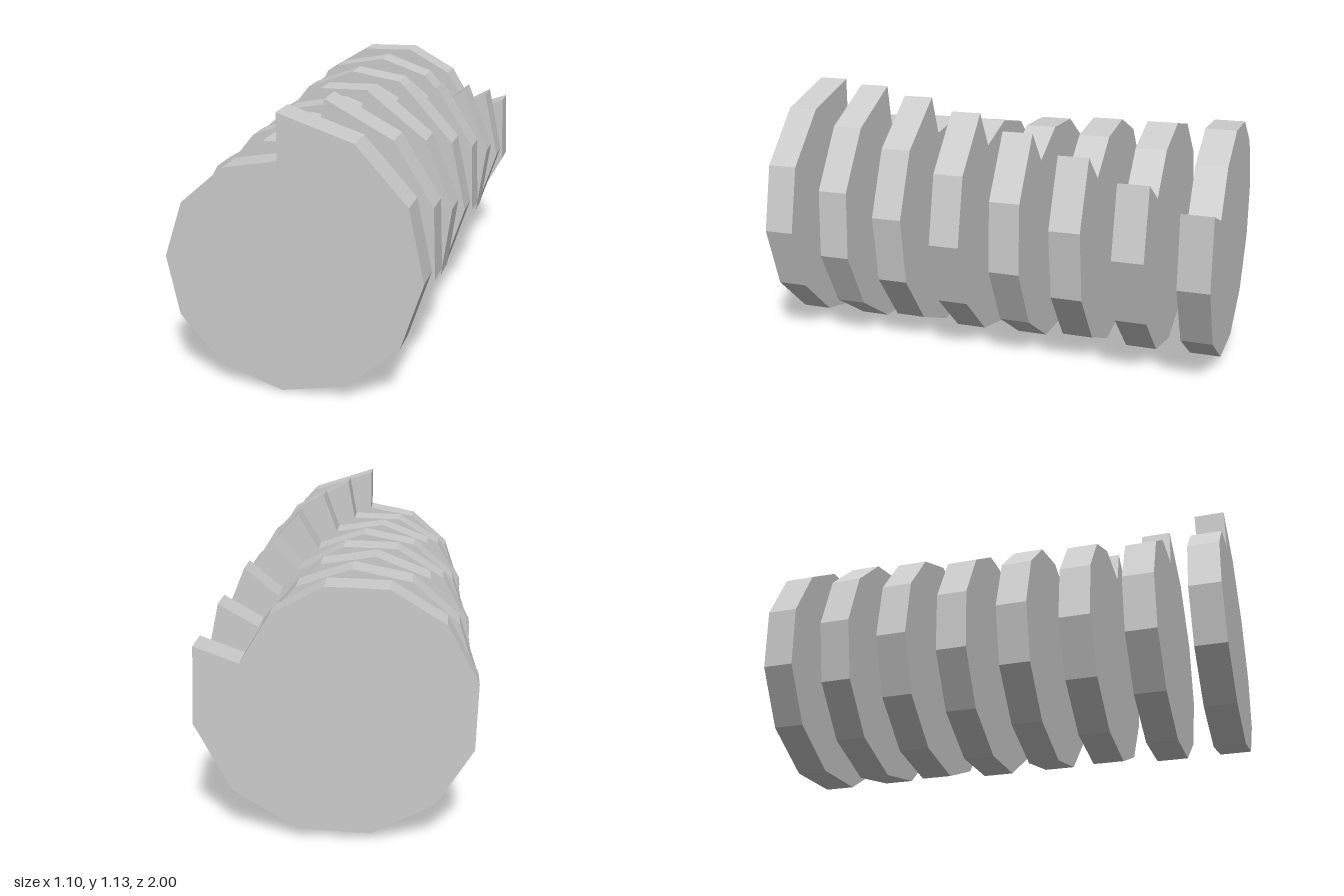
import * as THREE from 'three';

const COUNT = 8;                 // discs along z
const SIDES = 12;                // straight segments per spiral turn
const R_MAX = 0.611, R_MIN = 0.426;
const THICK = 2 / (2 * COUNT - 1); // disc thickness equals the gap
const TWIST = THREE.MathUtils.degToRad(10);

// Snail cam outline: radius shrinks clockwise from the tip, then steps back out.
// The spiral's centre sits slightly off the axis the discs turn about.
function camGeometry() {
  const points = [];
  for (let k = 0; k <= SIDES; k++) {
    const angle = Math.PI / 2 - (k / SIDES) * Math.PI * 2;
    const r = THREE.MathUtils.lerp(R_MAX, R_MIN, k / SIDES);
    points.push(new THREE.Vector2(r * Math.cos(angle), r * Math.sin(angle)));
  }
  const geometry = new THREE.ExtrudeGeometry(new THREE.Shape(points), {
    depth: THICK, bevelEnabled: false,
  });
  return geometry.translate(-0.026, -0.04, -THICK / 2);
}

export function createModel() {
  const group = new THREE.Group();
  group.name = 'snailCamStack';
  const geometry = camGeometry();
  const material = new THREE.MeshStandardMaterial({ color: 0xcccccc, flatShading: true });

  // Separate discs, front to back, each turned a little further clockwise
  for (let i = 0; i < COUNT; i++) {
    const disc = new THREE.Mesh(geometry, material);
    disc.name = `camDisc${i + 1}`;
    disc.position.set(0.002, 0.559, 1 - THICK / 2 - i * 2 * THICK);
    disc.rotation.z = -i * TWIST;
    group.add(disc);
  }
  return group;
}
